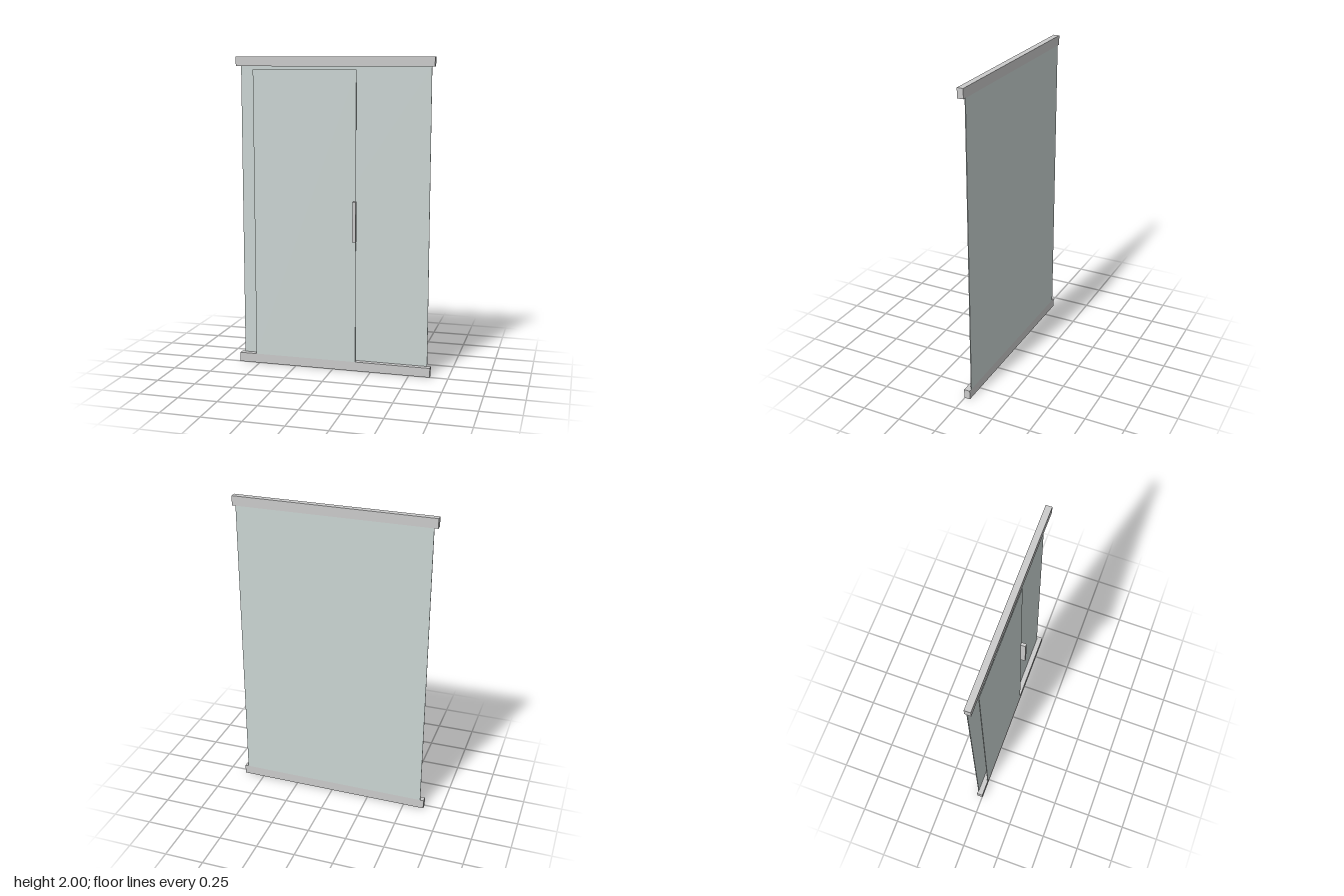
import * as THREE from 'three';

const frameMaterial = new THREE.MeshStandardMaterial({ color: 0xcccccc });
const glassMaterial = new THREE.MeshStandardMaterial({ color: 0xccd6d4 });

// Box given by its lower and upper limits on each axis
function box(name, material, [x0, x1], [y0, y1], [z0, z1]) {
  const mesh = new THREE.Mesh(new THREE.BoxGeometry(x1 - x0, y1 - y0, z1 - z0), material);
  mesh.position.set((x0 + x1) / 2, (y0 + y1) / 2, (z0 + z1) / 2);
  mesh.name = name;
  return mesh;
}

export function createModel() {
  const group = new THREE.Group();
  group.name = 'slidingGlassDoor';

  const back = -0.036, front = 0.003, glass = 0.005;
  const railHeight = 0.06, height = 2;

  // Bottom and top rails
  for (const [name, y] of [['bottomRail', 0], ['topRail', height - railHeight]]) {
    group.add(box(name, frameMaterial, [-0.635, 0.635], [y, y + railHeight], [back, front]));
  }

  // Fixed pane, flush with the back of the rails
  group.add(box('fixedPane', glassMaterial, [-0.612, 0.612],
    [railHeight, height - railHeight], [back, back + glass]));

  // Door leaf, flush with the front of the rails, stopping short of the top one
  group.add(box('doorPane', glassMaterial, [-0.522, 0.15],
    [railHeight, 1.92], [front - glass, front]));

  // Upright pull handle on the door's free edge
  group.add(box('handle', frameMaterial, [0.136, 0.156], [0.85, 1.105], [front, 0.036]));

  return group;
}
